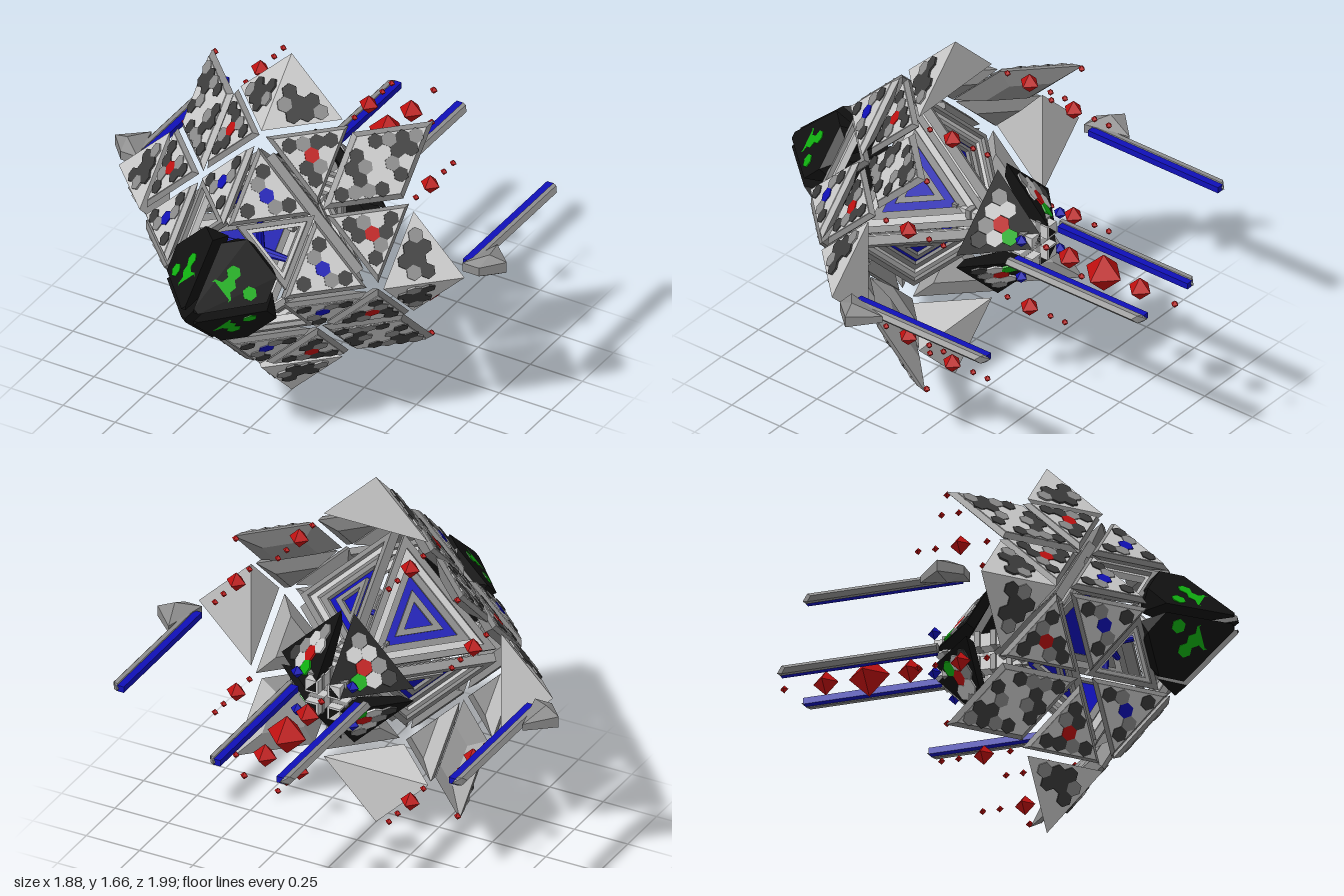
import * as THREE from 'three';
import { ConvexGeometry } from 'three/addons/geometries/ConvexGeometry.js';

const mat = (color) => new THREE.MeshStandardMaterial({ color, flatShading: true });
const light = mat(0xcccccc), mid = mat(0x8c8c8c), dark = mat(0x3c3c3c), black = mat(0x111111);
const red = mat(0xc01010), blue = mat(0x1010b8), green = mat(0x10b010);
const inks = { d: dark, m: mid, k: black, r: red, b: blue, g: green, l: light };
const V = (x, y, z) => new THREE.Vector3(x, y, z);

function add(parent, name, geometry, material, x = 0, y = 0, z = 0) {
  const mesh = new THREE.Mesh(geometry, material);
  mesh.name = name;
  mesh.position.set(x, y, z);
  parent.add(mesh);
  return mesh;
}
const hull = (parent, name, pts, material) => add(parent, name, new ConvexGeometry(pts), material);
const box = (parent, name, w, h, d, material, x, y, z) =>
  add(parent, name, new THREE.BoxGeometry(w, h, d), material, x, y, z);
const gem = (parent, name, r, material, x, y, z) =>
  add(parent, name, new THREE.OctahedronGeometry(r), material, x, y, z);

const centre = (pts) => pts.reduce((s, p) => s.add(p), V(0, 0, 0)).divideScalar(pts.length);
// Shrinks a polygon towards its centre and shifts it along its normal
function ring(pts, n, inset, offset) {
  const c = centre(pts);
  return pts.map((p) => p.clone().lerp(c, inset).addScaledVector(n, offset));
}

// Bevelled armour plate with a pale face
function plate(parent, name, pts, n, thick, body = mid, face = light) {
  const g = new THREE.Group();
  g.name = name;
  parent.add(g);
  hull(g, 'plateBody', [...ring(pts, n, 0.14, 0), ...ring(pts, n, 0, -0.018), ...ring(pts, n, 0.48, -thick)], body);
  hull(g, 'plateFace', [...ring(pts, n, 0.15, 0.003), ...ring(pts, n, 0.15, -0.01)], face);
  return g;
}

// Ten hexagonal patches on a triangle; one letter each, dot = none, sixth = middle
function patches(parent, tri, n, code) {
  const [a, b, c] = tri, N = 6;
  const ex = b.clone().sub(a).normalize();
  const basis = new THREE.Matrix4().makeBasis(ex, n, ex.clone().cross(n));
  const r = a.distanceTo(b) / N / Math.sqrt(3);
  let s = 0;
  for (let i = 1; i < 5; i++) for (let j = 1; j <= 5 - i; j++) {
    const ink = inks[code[s++]];
    if (!ink) continue;
    const p = a.clone().multiplyScalar(i).addScaledVector(b, j).addScaledVector(c, N - i - j).divideScalar(N);
    const m = add(parent, 'hexPatch', new THREE.CylinderGeometry(r, r, 0.008, 6), ink);
    m.quaternion.setFromRotationMatrix(basis);
    m.position.copy(p).addScaledVector(n, 0.003);
  }
}

// Triangular frame of three flat beams between two insets
function frame(parent, name, tri, n, k0, k1, top, thick, material) {
  const o = ring(tri, n, k0, top), i = ring(tri, n, k1, top);
  for (let e = 0; e < 3; e++) {
    const f = (e + 1) % 3, quad = [o[e], o[f], i[f], i[e]];
    hull(parent, name, [...quad, ...quad.map((p) => p.clone().addScaledVector(n, -thick))], material);
  }
}

function buildFrontOctant(g, sx, sy) {
  const n = V(sx, sy, 1).normalize();
  // Corners given as x, y on the sloping plane |x| + |y| + z = sum
  const on = (sum, list) => list.map(([x, y]) => V(sx * x, sy * y, sum - x - y));
  for (const swap of [false, true]) {
    const o = (list) => (swap ? list.map(([x, y]) => [y, x]) : list);
    const mids = on(1, o([[0.275, 0.565], [0.025, 0.565], [0.275, 0.315]]));
    patches(plate(g, 'bandPanel', mids, n, 0.06), mids, n, 'dd.dmrm.dd');
    const inner = on(1.02, o([[0.02, 0.29], [0.27, 0.29], [0.02, 0.54]]));
    patches(plate(g, 'forePanel', inner, n, 0.06), inner, n, 'd..dmbm..d');
    patches(g, on(1, o([[0, 0.83], [0, 0.58], [0.25, 0.58]])), n, 'mdd.ddm.d.');
  }
  // Rhombic outer panel
  const q = on(1, [[0.295, 0.295], [0.54, 0.295], [0.54, 0.54], [0.295, 0.54]]);
  const rh = plate(g, 'cornerPanel', q, n, 0.06);
  patches(rh, [q[0], q[1], q[3]], n, 'dm.dddm.md');
  patches(rh, [q[2], q[1], q[3]], n, 'd.mdmd.ddm');
  // Open strut frame behind the nose
  const strut = on(0.97, [[0.27, 0.27], [0.27, 0.035], [0.035, 0.27]]);
  frame(g, 'foreStrut', strut, n, 0, 0.22, 0, 0.03, mid);
  frame(g, 'foreStrutInner', strut, n, 0.22, 0.38, -0.02, 0.03, light);
  // Nose block
  hull(g, 'noseBlock', [[0.02, 0.02, 0.99], [0.04, 0.02, 0.99], [0.02, 0.04, 0.99], [0.24, 0.02, 0.77],
    [0.02, 0.24, 0.77], [0.24, 0.1, 0.69], [0.1, 0.24, 0.69], [0.19, 0.02, 0.64], [0.02, 0.19, 0.64],
    [0.18, 0.12, 0.64], [0.12, 0.18, 0.64], [0.02, 0.02, 0.72]].map(([x, y, z]) => V(sx * x, sy * y, z)), black);
  patches(g, on(1.03, [[0.02, 0.02], [0.25, 0.02], [0.02, 0.25]]), n, '.g.g.g.ggg');
}

function buildRearOctant(g, sx, sy) {
  const n = V(sx, sy, -1).normalize();
  const on = (list) => list.map(([x, y, z]) => V(sx * x, sy * y, z));
  // Stepped core wall with a blue recess
  const core = on([[0.03, 0.03, -0.07], [0.46, 0.03, 0.36], [0.03, 0.46, 0.36]]);
  frame(g, 'coreFrameOuter', core, n, 0, 0.16, 0, 0.04, mid);
  frame(g, 'coreFrameMiddle', core, n, 0.16, 0.32, -0.015, 0.04, light);
  frame(g, 'coreFrameInner', core, n, 0.32, 0.48, -0.03, 0.04, mid);
  hull(g, 'coreRecess', [...ring(core, n, 0.47, -0.045), ...ring(core, n, 0.47, -0.06)], blue);
  frame(g, 'coreChevron', core, n, 0.66, 0.8, -0.03, 0.02, mid);
  // Ribbed rail running aft
  box(g, 'rail', 0.06, 0.06, 0.42, light, sx * 0.052, sy * 0.052, -0.09);
  for (let i = 0; i < 6; i++) box(g, 'railRib', 0.07, 0.07, 0.025, mid, sx * 0.056, sy * 0.056, 0.1 - i * 0.07);
  // Tail panel
  const tail = on([[0.03, 0.03, -0.35], [0.31, 0.03, -0.08], [0.03, 0.31, -0.08]]);
  const back = [[0.03, 0.03, -0.3], [0.08, 0.03, -0.3], [0.03, 0.08, -0.3], [0.31, 0.03, -0.08], [0.03, 0.31, -0.08],
    [0.24, 0.03, -0.07], [0.03, 0.24, -0.07], [0.03, 0.03, -0.2]];
  hull(g, 'tailPanel', on(back), black);
  patches(g, tail, n, 'mlmdlrl.g.');
  gem(g, 'tailStud', 0.03, blue, sx * 0.13, sy * 0.09, -0.28);
  // Floating red gems
  for (const [x, y] of [[0.26, 0.56], [0.555, 0.265]]) {
    gem(g, 'redGem', 0.045, red, sx * x, sy * y, -0.02);
    for (const z of [0.095, -0.13, -0.205]) gem(g, 'smallRedGem', 0.016, red, sx * x, sy * y, z);
  }
  gem(g, 'cornerRedGem', 0.017, red, sx * 0.52, sy * 0.52, -0.09);
}

export function createModel() {
  const model = new THREE.Group();
  model.name = 'octahedralCraft';
  const g = new THREE.Group();
  g.name = 'craft';
  g.position.y = 0.835;
  model.add(g);

  for (const sx of [1, -1]) for (const sy of [1, -1]) {
    buildFrontOctant(g, sx, sy);
    buildRearOctant(g, sx, sy);
  }

  for (const s of [1, -1]) {
    // Solid wing tips: top, bottom and both sides
    hull(g, 'verticalTip', [V(0, s * 0.83, 0.165), V(0, s * 0.585, 0.41), V(0.245, s * 0.585, 0.165), V(-0.245, s * 0.585, 0.165)], light);
    hull(g, 'sideTip', [V(s * 0.83, 0, 0.165), V(s * 0.585, 0, 0.41), V(s * 0.585, 0.245, 0.165), V(s * 0.585, -0.245, 0.165)], light);
    // Long prongs: grey outside with a blue inner strip
    for (const [x, z0, z1] of [[0.165, -0.96, -0.25], [0.795, -0.63, 0.08]]) {
      hull(g, 'prong', [V(s * x, 0.018, z0 + 0.02), V(s * x, -0.018, z0 + 0.02), V(s * (x + 0.02), 0.018, z0 + 0.03),
        V(s * (x + 0.02), -0.018, z0 + 0.03), V(s * (x + 0.035), 0, z0 + 0.05), V(s * (x - 0.01), 0, z0),
        V(s * x, 0.018, z1), V(s * x, -0.018, z1), V(s * (x + 0.035), 0, z1), V(s * (x + 0.02), 0.018, z1), V(s * (x + 0.02), -0.018, z1)], mid);
      box(g, 'prongStrip', 0.034, 0.028, z1 - z0 - 0.03, blue, s * (x - 0.016), 0, (z0 + z1) / 2);
    }
    // Side pods
    hull(g, 'pod', [[0.83, 0.015, -0.1], [0.83, -0.015, -0.1], [0.94, 0.025, 0.01], [0.94, -0.025, 0.01], [0.87, 0.05, 0.03],
      [0.87, -0.05, 0.03], [0.78, 0.02, 0.1], [0.78, -0.02, 0.1], [0.86, 0.02, 0.1], [0.86, -0.02, 0.1]]
      .map(([x, y, z]) => V(s * x, y, z)), mid);
  }

  // Blue cross in the seams between the panels
  const arm = () => new THREE.CylinderGeometry(0.012, 0.022, 0.16, 8).translate(0, 0.08, 0);
  for (const [rx, rz] of [[0, 0], [Math.PI, 0], [0, Math.PI / 2], [0, -Math.PI / 2], [Math.PI / 2, 0]])
    add(g, 'crossArm', arm(), blue, 0, 0, 0.42).rotation.set(rx, 0, rz);

  // Chain of red gems along the tail axis
  for (const [z, r] of [[-0.31, 0.018], [-0.43, 0.055], [-0.61, 0.09], [-0.8, 0.055], [-0.982, 0.018]])
    gem(g, 'axisGem', r, red, 0, 0, z);

  return model;
}
